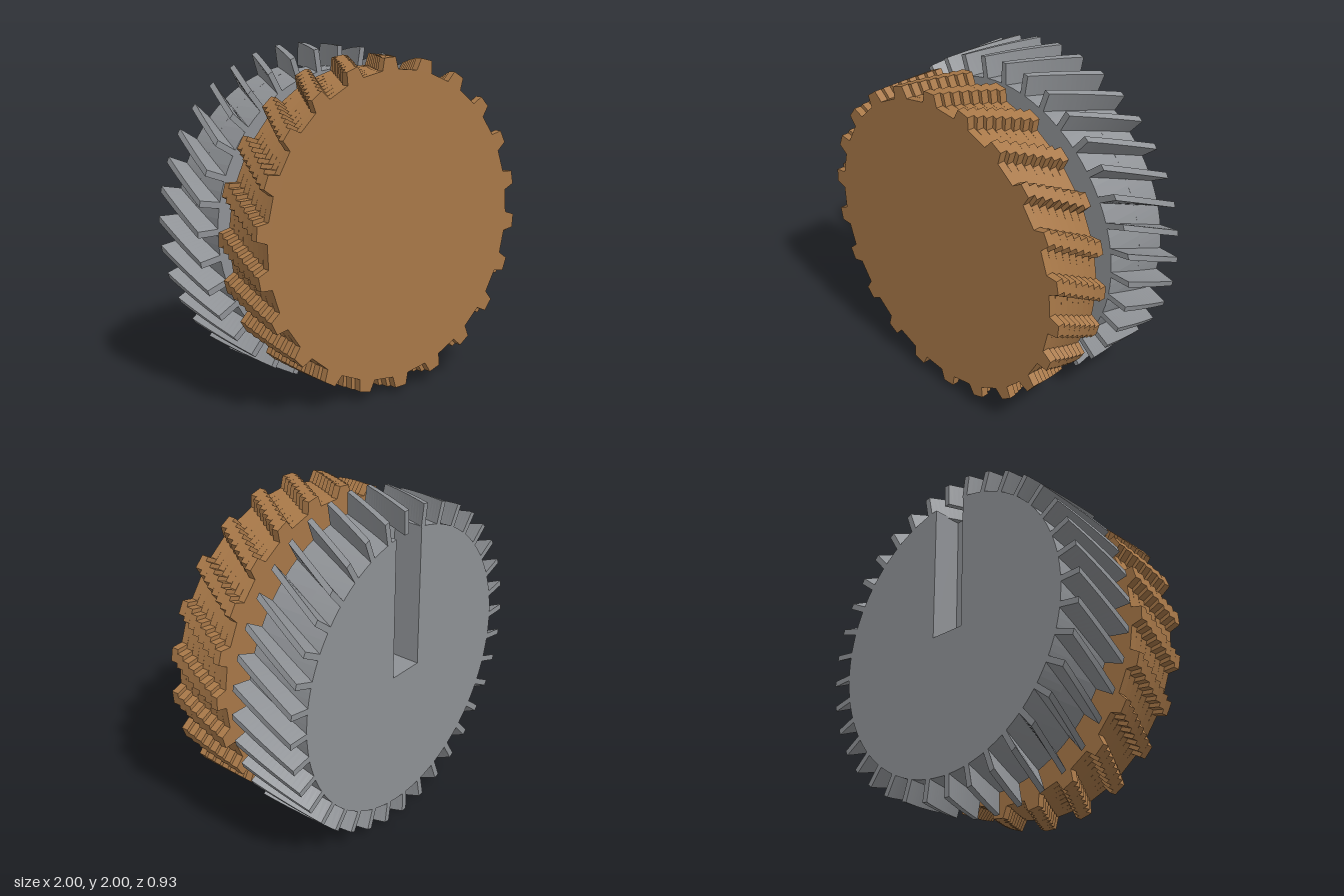
import * as THREE from 'three';

const DEG = Math.PI / 180;

// Toothed outline with trapezoid teeth, centred on the origin
function gearShape(teeth, tipR, rootR, tipHalf, rootHalf, phase) {
  const pts = [];
  for (let i = 0; i < teeth; i++) {
    const a = phase + (i * 2 * Math.PI) / teeth;
    for (const [r, d] of [[rootR, -rootHalf], [tipR, -tipHalf], [tipR, tipHalf], [rootR, rootHalf]]) {
      pts.push(new THREE.Vector2(r * Math.cos(a + d), r * Math.sin(a + d)));
    }
  }
  return new THREE.Shape(pts);
}

// Radial fin twisted about the z axis, clockwise towards the back
function twistedFin(innerR, outerR, thickness, depth, twist) {
  const geo = new THREE.BoxGeometry(outerR - innerR, thickness, depth, 1, 1, 16);
  geo.translate((innerR + outerR) / 2, 0, 0);
  const p = geo.attributes.position;
  for (let i = 0; i < p.count; i++) {
    const x = p.getX(i), y = p.getY(i), z = p.getZ(i);
    const a = twist * (z / depth - 0.5);
    p.setXY(i, x * Math.cos(a) - y * Math.sin(a), x * Math.sin(a) + y * Math.cos(a));
  }
  geo.computeVertexNormals();
  return geo;
}

export function createModel() {
  const model = new THREE.Group();
  model.name = 'helicalGearPair';
  const wood = new THREE.MeshStandardMaterial({ color: 0xa87848, flatShading: true });
  const steel = new THREE.MeshStandardMaterial({ color: 0x8f9296, flatShading: true });

  // Front gear: a stack of toothed layers, each turned a little further
  const layers = 8, layerDepth = 0.045;
  const layerGeo = new THREE.ExtrudeGeometry(
    gearShape(22, 0.965, 0.895, 2.4 * DEG, 3.7 * DEG, 93 * DEG),
    { depth: layerDepth, bevelEnabled: false });
  const steppedGear = new THREE.Group();
  steppedGear.name = 'steppedGear';
  for (let i = 0; i < layers; i++) {
    const layer = new THREE.Mesh(layerGeo, wood);
    layer.name = 'gearLayer';
    layer.position.z = 0.465 - (i + 1) * layerDepth;
    layer.rotation.z = -i * 1.57 * DEG;
    steppedGear.add(layer);
  }

  // Back gear: drum with a slot cut into its rear face
  const finnedGear = new THREE.Group();
  finnedGear.name = 'finnedGear';
  const R = 0.87, half = 0.115, zBack = -0.465, zSlot = -0.28, zFront = -0.045;

  const drum = new THREE.Mesh(new THREE.CylinderGeometry(R, R, zFront - zSlot, 72), steel);
  drum.name = 'drum';
  drum.rotation.x = Math.PI / 2;
  drum.position.z = (zFront + zSlot) / 2;
  finnedGear.add(drum);

  const a = Math.acos(half / R);
  const slotted = new THREE.Shape();
  slotted.absarc(0, 0, R, Math.PI - a, 2 * Math.PI + a, false);
  slotted.lineTo(half, 0);
  slotted.lineTo(-half, 0);
  const slottedDrum = new THREE.Mesh(
    new THREE.ExtrudeGeometry(slotted, { depth: zSlot - zBack, bevelEnabled: false, curveSegments: 72 }), steel);
  slottedDrum.name = 'slottedDrum';
  slottedDrum.position.z = zBack;
  finnedGear.add(slottedDrum);

  // Helical fins around the drum
  const fins = 36;
  const finGeo = twistedFin(R - 0.01, 1, 0.036, zFront - zBack, 0.2);
  for (let i = 0; i < fins; i++) {
    const fin = new THREE.Mesh(finGeo, steel);
    fin.name = 'fin';
    fin.position.z = (zFront + zBack) / 2;
    fin.rotation.z = (i * 2 * Math.PI) / fins;
    finnedGear.add(fin);
  }

  model.add(steppedGear, finnedGear);
  steppedGear.position.y = finnedGear.position.y = 1;
  return model;
}
